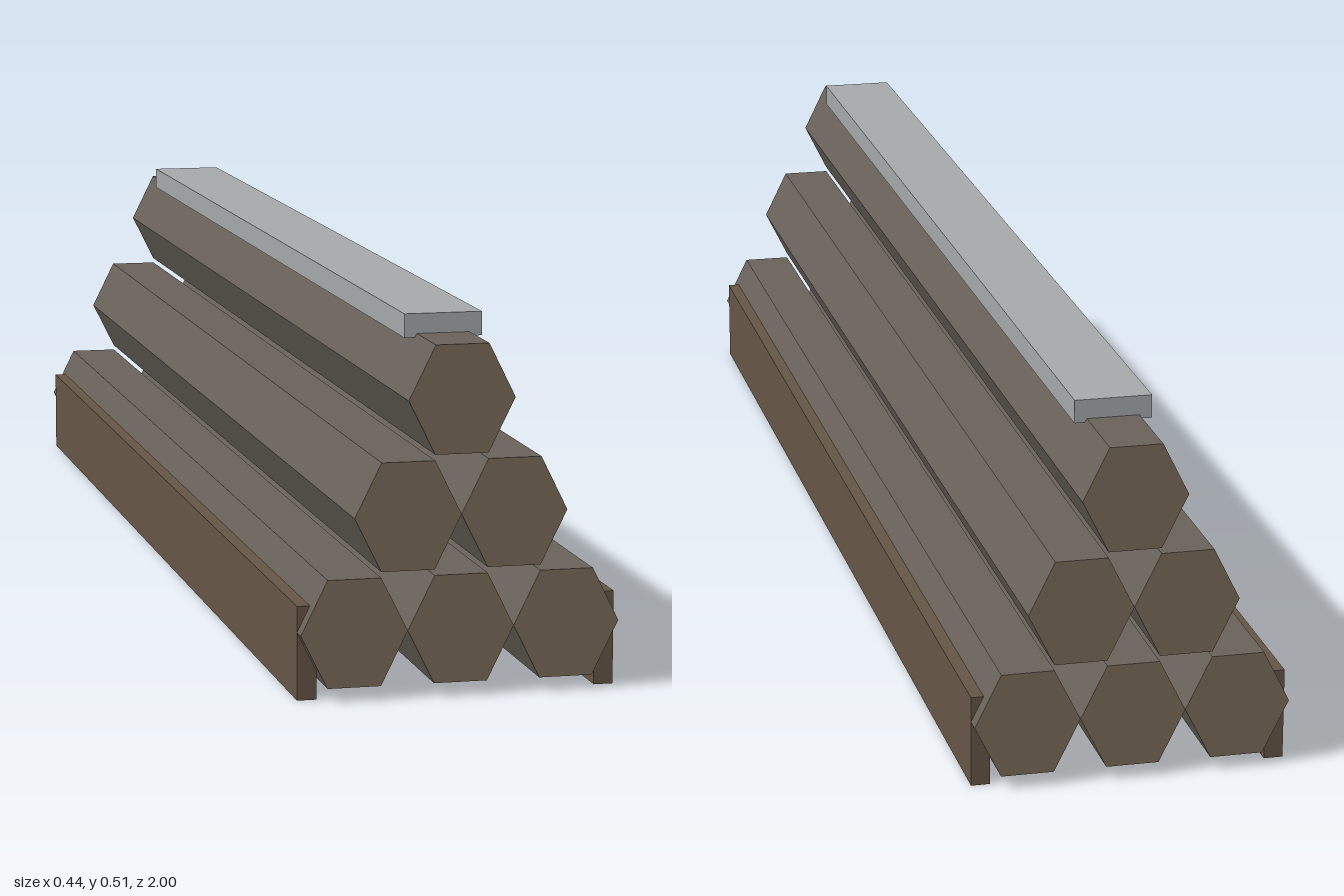
import * as THREE from 'three';

const mat = (color) => new THREE.MeshStandardMaterial({ color, flatShading: true });

export function createModel() {
  const group = new THREE.Group();
  group.name = 'logPile';

  const bark = mat(0x69625a);
  const cutWood = mat(0x7a6c59);
  const railWood = mat(0x665646);
  const plankGrey = mat(0xa6aaaa);

  // Six-sided log lying along z, with a vertex to each side and flats above and below
  const radius = 0.074, halfHeight = 0.0745;
  const logGeometry = new THREE.CylinderGeometry(radius, radius, 2, 6, 1, false, Math.PI / 6);
  logGeometry.rotateX(Math.PI / 2);
  logGeometry.scale(1, halfHeight / (radius * Math.sin(Math.PI / 3)), 1);

  // Stacked rows of three, two and one
  for (let row = 0; row < 3; row++) {
    const count = 3 - row;
    for (let i = 0; i < count; i++) {
      const log = new THREE.Mesh(logGeometry, [bark, cutWood, cutWood]);
      log.name = `log${row + 1}_${i + 1}`;
      log.position.set((i - (count - 1) / 2) * radius * 2, 0.094 + row * 0.157, 0);
      group.add(log);
    }
  }

  const addBox = (name, material, size, position) => {
    const mesh = new THREE.Mesh(new THREE.BoxGeometry(...size), material);
    mesh.name = name;
    mesh.position.set(...position);
    group.add(mesh);
  };

  // Side rails holding the bottom row
  for (const side of [-1, 1]) {
    addBox(side > 0 ? 'leftRail' : 'rightRail', railWood, [0.027, 0.13, 1.955], [side * 0.2085, 0.065, 0]);
  }

  // Flat plank resting on the top log
  addBox('topPlank', plankGrey, [0.109, 0.033, 1.775], [0, 0.4935, 0.0105]);

  return group;
}
